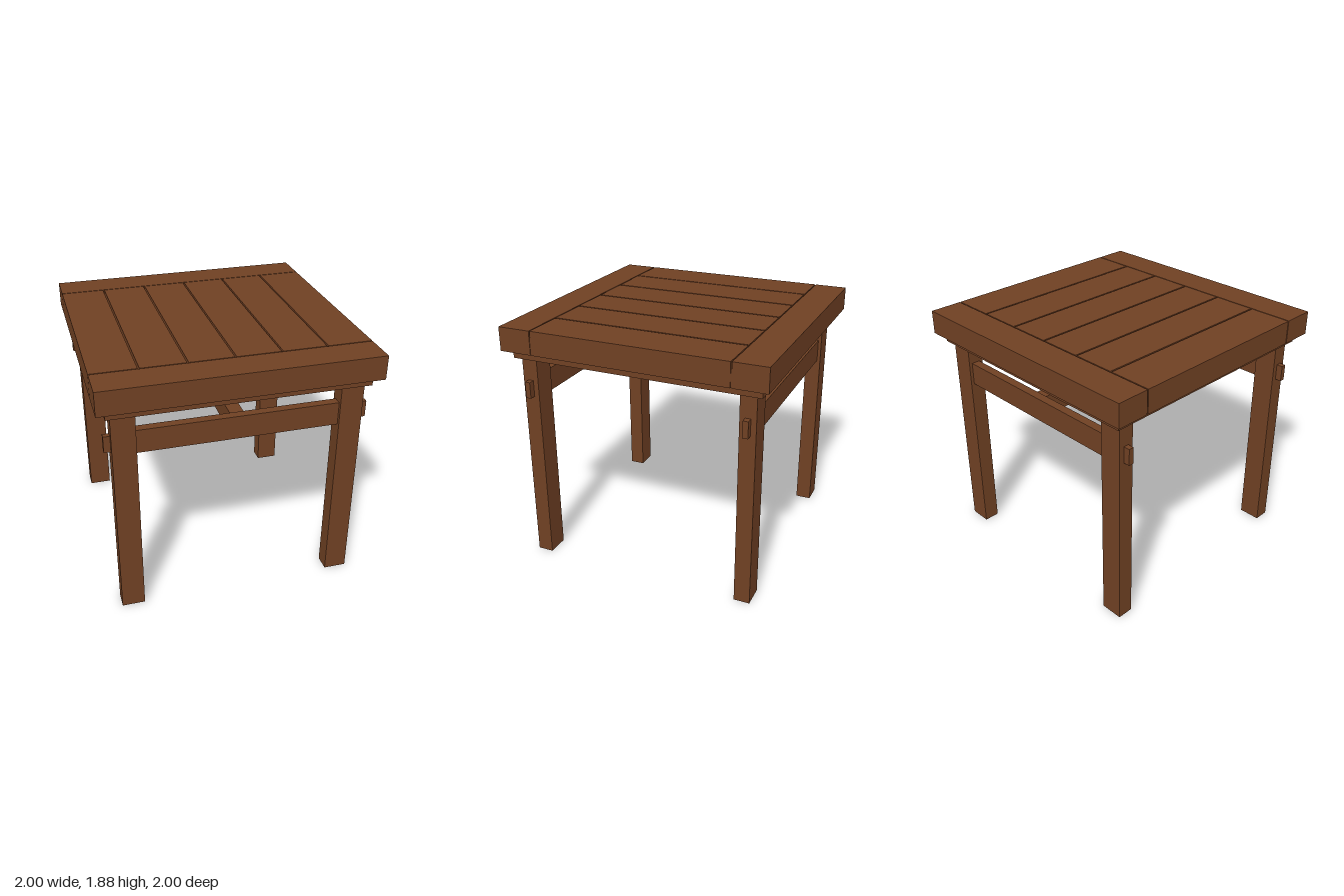
import * as THREE from 'three';

export function createModel() {
  const table = new THREE.Group();
  table.name = 'table';
  const wood = new THREE.MeshStandardMaterial({ color: 0x6f4023 });
  wood.name = 'brown wood';

  // Box given by its extents along each axis
  const block = (name, [x0, x1], [y0, y1], [z0, z1]) => {
    const mesh = new THREE.Mesh(new THREE.BoxGeometry(x1 - x0, y1 - y0, z1 - z0), wood);
    mesh.name = name;
    mesh.position.set((x0 + x1) / 2, (y0 + y1) / 2, (z0 + z1) / 2);
    table.add(mesh);
  };
  // Extents mirrored to the given side
  const side = (s, a, b) => (s > 0 ? [a, b] : [-b, -a]);

  const top = 1.88, topBase = 1.7, apronBase = 1.635;

  // Tabletop: backing panel, planks with narrow grooves, and end boards
  block('topPanel', [-0.995, 0.995], [topBase, 1.83], [-0.75, 0.75]);
  const planks = 6, pitch = 2 / planks, gap = 0.012;
  for (let i = 0; i < planks; i++) {
    const x0 = -1 + i * pitch + (i > 0 ? gap / 2 : 0);
    const x1 = -1 + (i + 1) * pitch - (i < planks - 1 ? gap / 2 : 0);
    block('plank', [x0, x1], [topBase, top], [-0.742, 0.742]);
  }

  for (const s of [1, -1]) {
    block('endBoard', [-1, 1], [topBase, top], side(s, 0.75, 1));

    // Apron frame under the top
    block('longApron', [-0.935, 0.935], [apronBase, topBase], side(s, 0.85, 0.94));
    block('sideApron', side(s, 0.85, 0.935), [apronBase, topBase], [-0.85, 0.85]);

    // Rail between two legs
    block('rail', [-0.74, 0.74], [1.315, 1.49], side(s, 0.805, 0.87));

    // Legs with the rail tenons showing through
    for (const t of [1, -1]) {
      block('leg', side(t, 0.73, 0.9), [0, apronBase + 0.03], side(s, 0.775, 0.895));
      block('tenon', side(t, 0.88, 0.948), [1.34, 1.465], side(s, 0.815, 0.855));
    }
  }

  // Middle stretcher joining the two rails
  block('stretcher', [-0.05, 0.05], [1.325, 1.475], [-0.81, 0.81]);

  return table;
}
